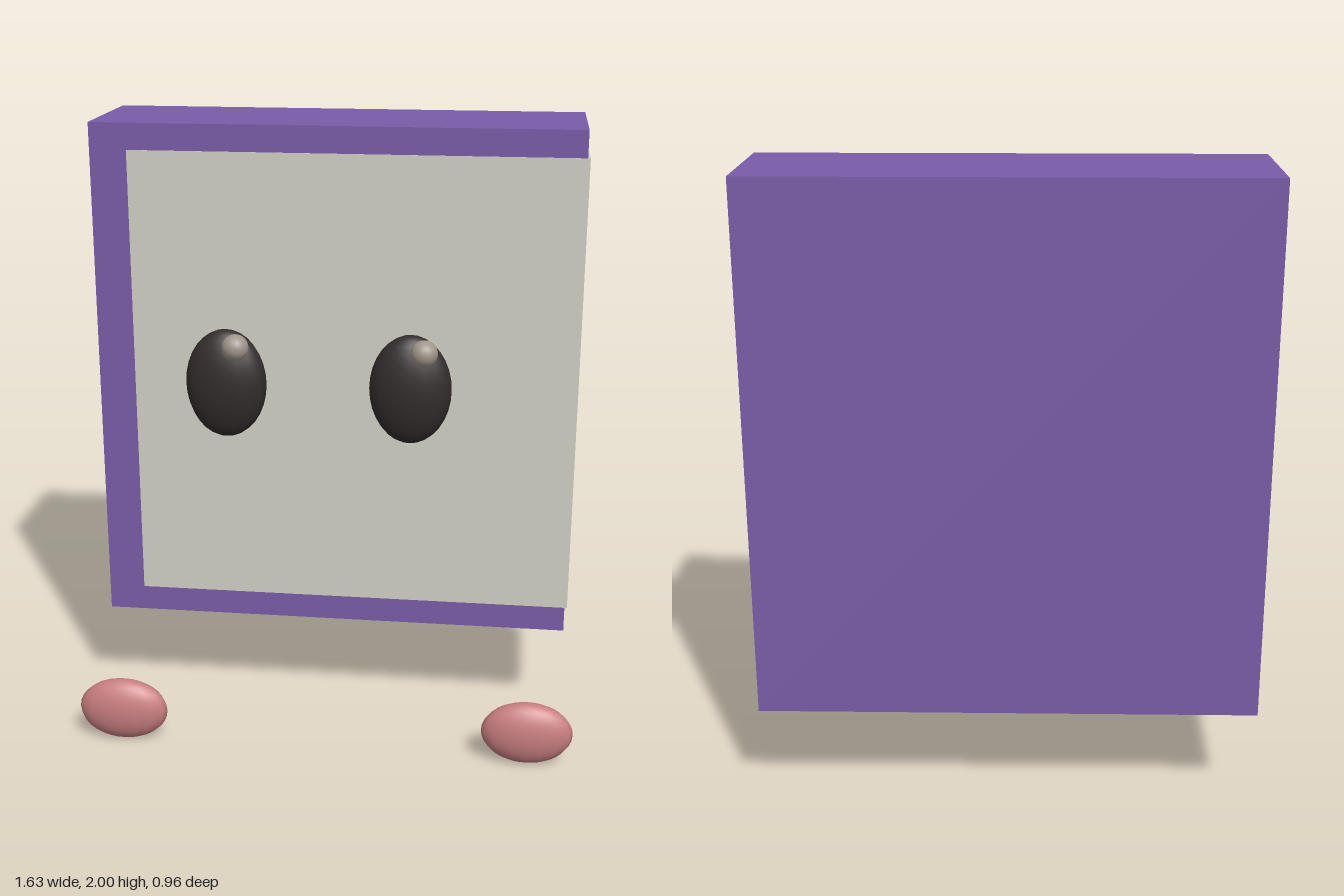
import * as THREE from 'three';

const material = (color) => new THREE.MeshStandardMaterial({ color });

export function createModel() {
  const model = new THREE.Group();
  const purple = material(0x7a5ca8);
  const cream = material(0xd2d0c6);
  const black = material(0x332c2c);
  const pink = material(0xc87e80);
  const grey = material(0xa0968c);

  // Box given by its lower and upper corners
  function box(name, min, max, mat) {
    const size = max.map((v, i) => v - min[i]);
    const mesh = new THREE.Mesh(new THREE.BoxGeometry(...size), mat);
    mesh.position.set(...max.map((v, i) => (v + min[i]) / 2));
    mesh.name = name;
    model.add(mesh);
  }

  // Sphere scaled to three radii
  function ellipsoid(name, center, radii, mat) {
    const geometry = new THREE.SphereGeometry(1, 16, 16).scale(...radii);
    const mesh = new THREE.Mesh(geometry, mat);
    mesh.position.set(...center);
    mesh.name = name;
    model.add(mesh);
  }

  // Book cover, with the page block just proud of its front and left side
  box('cover', [-0.78, 0.33, -0.48], [0.78, 2, -0.035], purple);
  box('pages', [-0.66, 0.415, -0.42], [0.788, 1.915, -0.033], cream);

  // Floating eyes, glints and feet; both glints sit on the same side
  for (const [side, s] of [['left', 1], ['right', -1]]) {
    ellipsoid(side + 'Eye', [s * 0.278, 1.28, 0.357], [0.123, 0.167, 0.067], black);
    ellipsoid(side + 'EyeGlint', [s * 0.278 + 0.044, 1.413, 0.436], [0.04, 0.04, 0.04], grey);
    ellipsoid(side + 'Foot', [s * 0.668, 0.106, 0.27], [0.148, 0.106, 0.058], pink);
  }

  return model;
}
